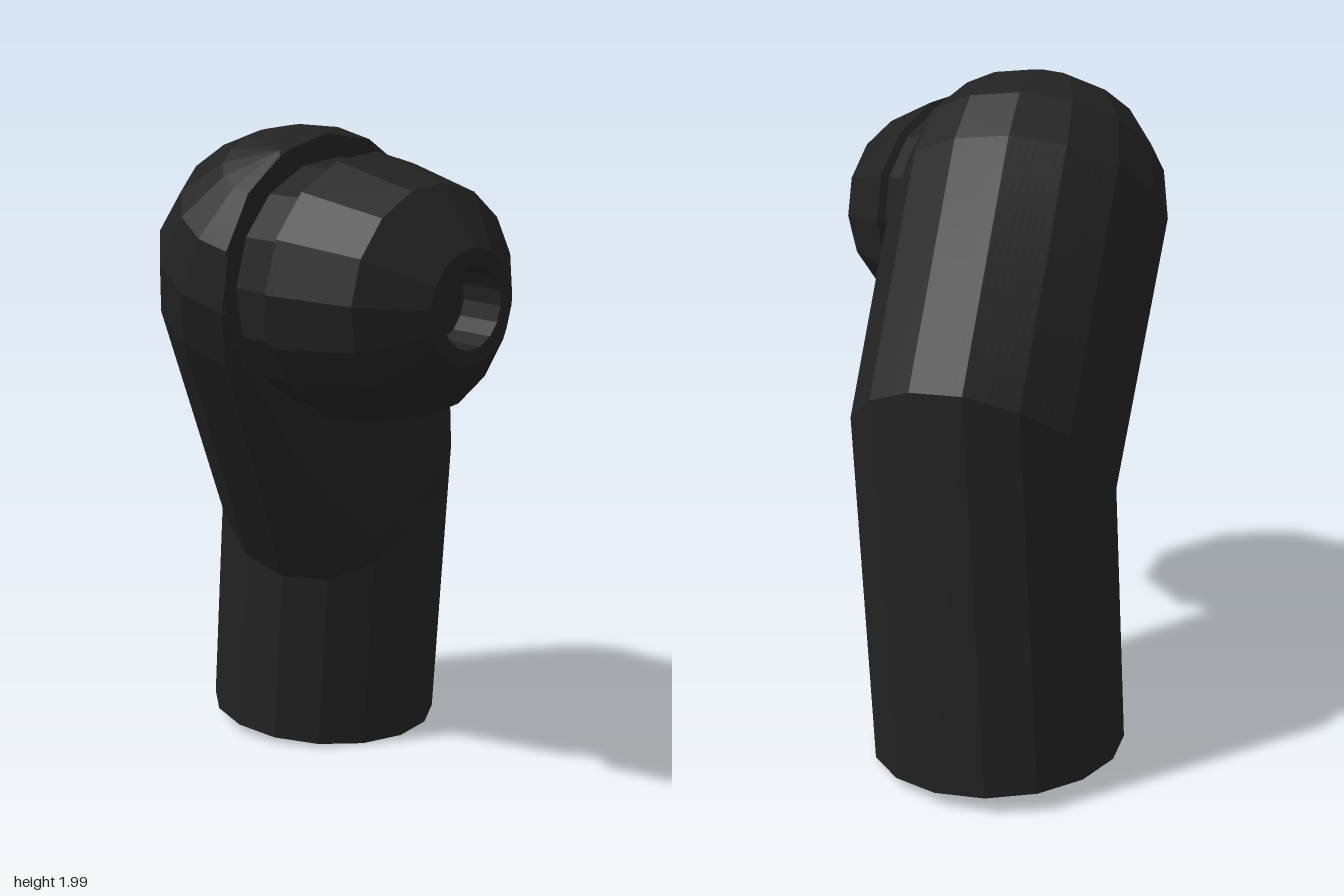
import * as THREE from 'three';

const SIDES = 16;

// Faceted loft through coarse 16-point rings; each facet is split k times and
// pressed flat against the plane z = zMax.
function loft(rings, k = 1, zMax = Infinity) {
  const n = SIDES * k, rows = (rings.length - 1) * k;
  const pos = [], idx = [];
  const p = new THREE.Vector3(), q = new THREE.Vector3();
  for (let i = 0; i <= rows; i++) {
    const r = Math.min(Math.floor(i / k), rings.length - 2), s = i / k - r;
    for (let j = 0; j < n; j++) {
      const a = Math.floor(j / k), b = (a + 1) % SIDES, t = j / k - a;
      p.lerpVectors(rings[r][a], rings[r][b], t);
      q.lerpVectors(rings[r + 1][a], rings[r + 1][b], t);
      p.lerp(q, s);
      pos.push(p.x, p.y, Math.min(p.z, zMax));
    }
  }
  for (let i = 0; i < rows; i++) {
    for (let j = 0; j < n; j++) {
      const a = i * n + j, b = i * n + (j + 1) % n;
      idx.push(a, a + n, b, b, a + n, b + n);
    }
  }
  const g = new THREE.BufferGeometry();
  g.setAttribute('position', new THREE.Float32BufferAttribute(pos, 3));
  g.setIndex(idx);
  return g;
}

// One ring of points from a rule in cos and sin
function ring(rule) {
  return Array.from({ length: SIDES }, (_, i) => {
    const t = (i / SIDES) * Math.PI * 2;
    return rule(Math.cos(t), Math.sin(t));
  });
}

export function createModel() {
  const black = new THREE.MeshStandardMaterial({ color: 0x222222 });
  black.name = 'matteBlack';

  const model = new THREE.Group();
  model.name = 'elbowFitting';
  const body = new THREE.Group();
  body.name = 'tiltedBody';
  body.rotation.x = 0.08;
  model.add(body);

  const add = (name, geometry) => {
    const flat = geometry.index ? geometry.toNonIndexed() : geometry;
    flat.computeVertexNormals();
    const mesh = new THREE.Mesh(flat, black);
    mesh.name = name;
    body.add(mesh);
    return mesh;
  };

  const cx = 0.234, cz = -0.337, R = 0.384, bottom = 0.005;
  const level = (r, y) => ring((c, s) => new THREE.Vector3(cx + r * c, y, cz + r * s));

  // Slanted joint between the lower tube and the upper arm
  const joint = ring((c, s) => new THREE.Vector3(
    cx + R * c, 0.871 + 0.695 * R * c - 0.4 * R * s, cz + R * s));

  // Lower tube with its open bore
  add('lowerTube', loft([
    level(0, 0.6), level(0.26, 0.6), level(0.26, bottom), level(R, bottom), joint,
  ]));

  // Upper arm ending in a dome, with a flat front
  const head = new THREE.Vector3(-0.19, 1.562, -0.09), headR = 0.433;
  const u = head.clone().sub(new THREE.Vector3(cx, 0.871, cz)).normalize();
  const e1 = new THREE.Vector3(1, 0, 0).addScaledVector(u, -u.x).normalize();
  const e2 = e1.clone().cross(u);
  const rings = [joint];
  for (let i = 0; i <= 4; i++) {
    const phi = (i / 4) * Math.PI / 2;
    const r = headR * Math.cos(phi);
    rings.push(ring((c, s) => head.clone()
      .addScaledVector(u, headR * Math.sin(phi))
      .addScaledVector(e1, r * c)
      .addScaledVector(e2, r * s)));
  }
  add('upperArm', loft(rings, 8, 0.05));

  // Nozzle: neck, flange, tapered cap and recessed tip hole
  const profile = [
    [0.36, 0], [0.36, 0.19], [0.384, 0.2], [0.378, 0.225], [0.318, 0.463],
    [0.16, 0.594], [0.115, 0.594], [0.115, 0.46], [0, 0.46],
  ].map(([r, y]) => new THREE.Vector2(r, y));
  const nozzle = add('nozzle', new THREE.LatheGeometry(profile, SIDES));
  nozzle.rotation.x = Math.PI / 2;
  nozzle.position.set(-0.192, 1.543, 0);

  return model;
}
